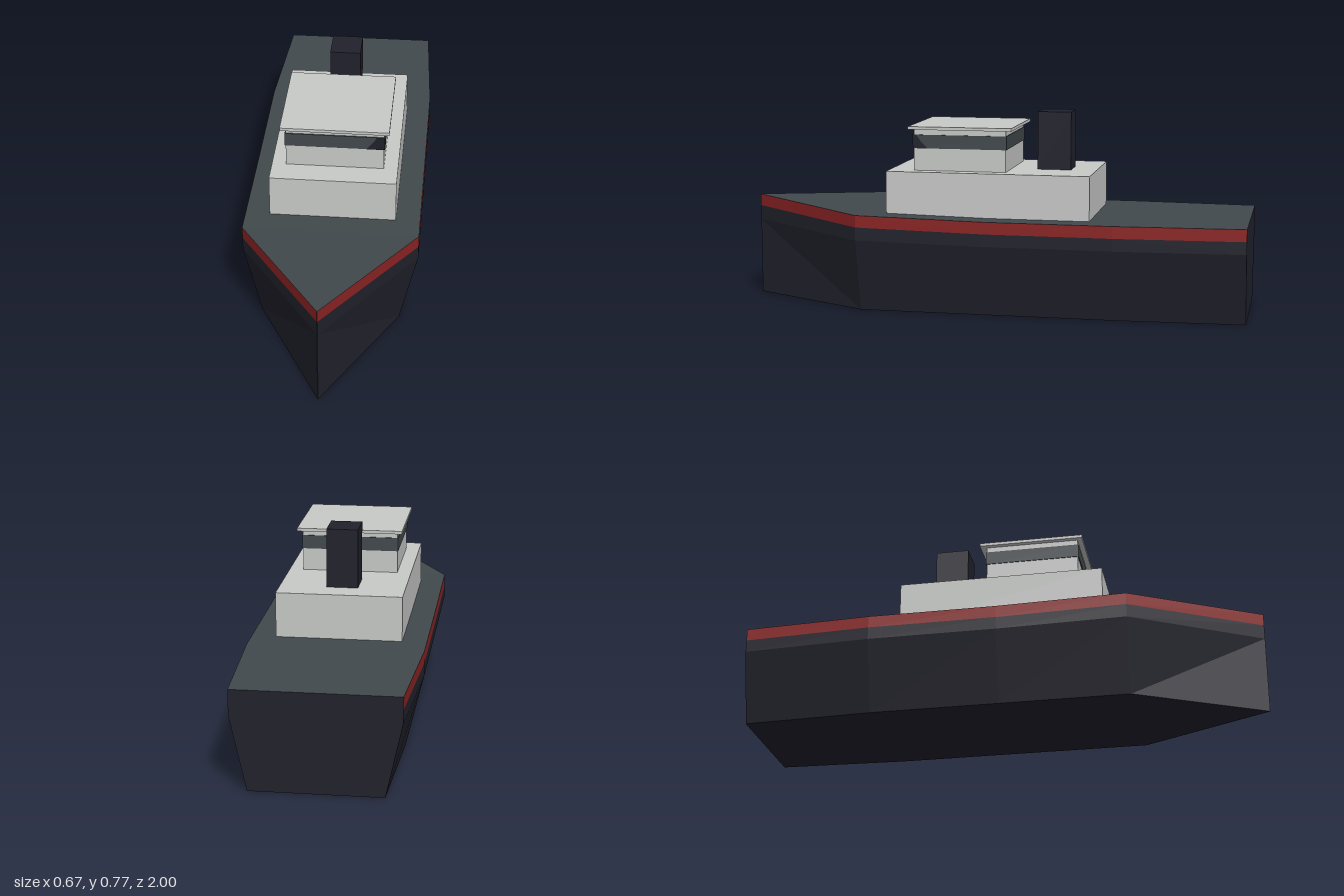
import * as THREE from 'three';

const mat = (name, color) => {
  const m = new THREE.MeshStandardMaterial({ color });
  m.name = name;
  return m;
};

export function createModel() {
  const ship = new THREE.Group();
  ship.name = 'ship';
  const navy = mat('navy hull', 0x21212c);
  const red = mat('red stripe', 0x8b2323);
  const grey = mat('slate grey', 0x41494c);
  const white = mat('pale grey', 0xc8cac8);

  const add = (name, geometry, material) => {
    const mesh = new THREE.Mesh(geometry, material);
    mesh.name = name;
    ship.add(mesh);
    return mesh;
  };

  // Flat-faced surface from quads, corners counter-clockwise seen from outside
  const surface = (quads) => {
    const pos = [];
    for (const [a, b, c, d] of quads) pos.push(...a, ...b, ...c, ...a, ...c, ...d);
    const g = new THREE.BufferGeometry();
    g.setAttribute('position', new THREE.Float32BufferAttribute(pos, 3));
    g.computeVertexNormals();
    return g;
  };

  // Hull stations from stern to bow: z, half width, deck height
  const stations = [
    [-1, 0.305, 0.375], [-0.5, 0.333, 0.375], [0, 0.333, 0.375],
    [0.5, 0.333, 0.385], [1, 0.001, 0.408],
  ];
  // Section levels: keel edge, chine, stripe bottom, deck edge
  const section = ([z, w, y], s) => [
    [s * w * 0.8, 0, z], [s * w, y * 0.745, z], [s * w, y - 0.047, z], [s * w, y, z],
  ];
  const sides = [], stripe = [], deck = [], bottom = [];
  for (let i = 0; i < stations.length - 1; i++) {
    const [l0, l1] = [section(stations[i], 1), section(stations[i + 1], 1)];
    const [r0, r1] = [section(stations[i], -1), section(stations[i + 1], -1)];
    for (let k = 0; k < 3; k++) {
      const band = k === 2 ? stripe : sides;
      band.push([l0[k], l0[k + 1], l1[k + 1], l1[k]]);
      band.push([r0[k], r1[k], r1[k + 1], r0[k + 1]]);
    }
    deck.push([r0[3], r1[3], l1[3], l0[3]]);
    bottom.push([r0[0], l0[0], l1[0], r1[0]]);
  }
  // Transom and stem close the two ends
  const end = (st, front) => {
    const l = section(st, 1), r = section(st, -1);
    for (let k = 0; k < 3; k++) {
      const q = [r[k], l[k], l[k + 1], r[k + 1]];
      sides.push(front ? q : q.reverse());
    }
  };
  end(stations[0], false);
  end(stations[stations.length - 1], true);
  add('hull', surface([...sides, ...bottom]), navy);
  add('hullStripe', surface(stripe), red);
  add('deck', surface(deck), grey);

  // Superstructure boxes given by their extents
  const box = (name, w, y0, y1, z0, z1, material) =>
    add(name, new THREE.BoxGeometry(w, y1 - y0, z1 - z0), material)
      .position.set(0, (y0 + y1) / 2, (z0 + z1) / 2);
  box('deckhouse', 0.48, 0.36, 0.548, -0.4, 0.4, white);
  box('wheelhouse', 0.372, 0.548, 0.709, -0.065, 0.3, white);
  box('windowBand', 0.378, 0.635, 0.688, -0.068, 0.304, grey);
  box('wheelhouseRoof', 0.412, 0.709, 0.721, -0.09, 0.32, white);
  box('funnel', 0.12, 0.548, 0.775, -0.3, -0.168, navy);

  // Dark panes at the front left corner of the window band
  const pane = (points) => new THREE.ShapeGeometry(
    new THREE.Shape(points.map((p) => new THREE.Vector2(...p))));
  add('frontCornerPane', pane([
    [0.12, 0.635], [0.189, 0.635], [0.189, 0.688], [0.16, 0.688], [0.14, 0.66],
  ]), navy).position.z = 0.305;
  const sidePane = add('sideCornerPane', pane([
    [-0.304, 0.635], [-0.245, 0.635], [-0.27, 0.66], [-0.29, 0.688], [-0.304, 0.688],
  ]), navy);
  sidePane.rotation.y = Math.PI / 2;
  sidePane.position.x = 0.19;

  return ship;
}
